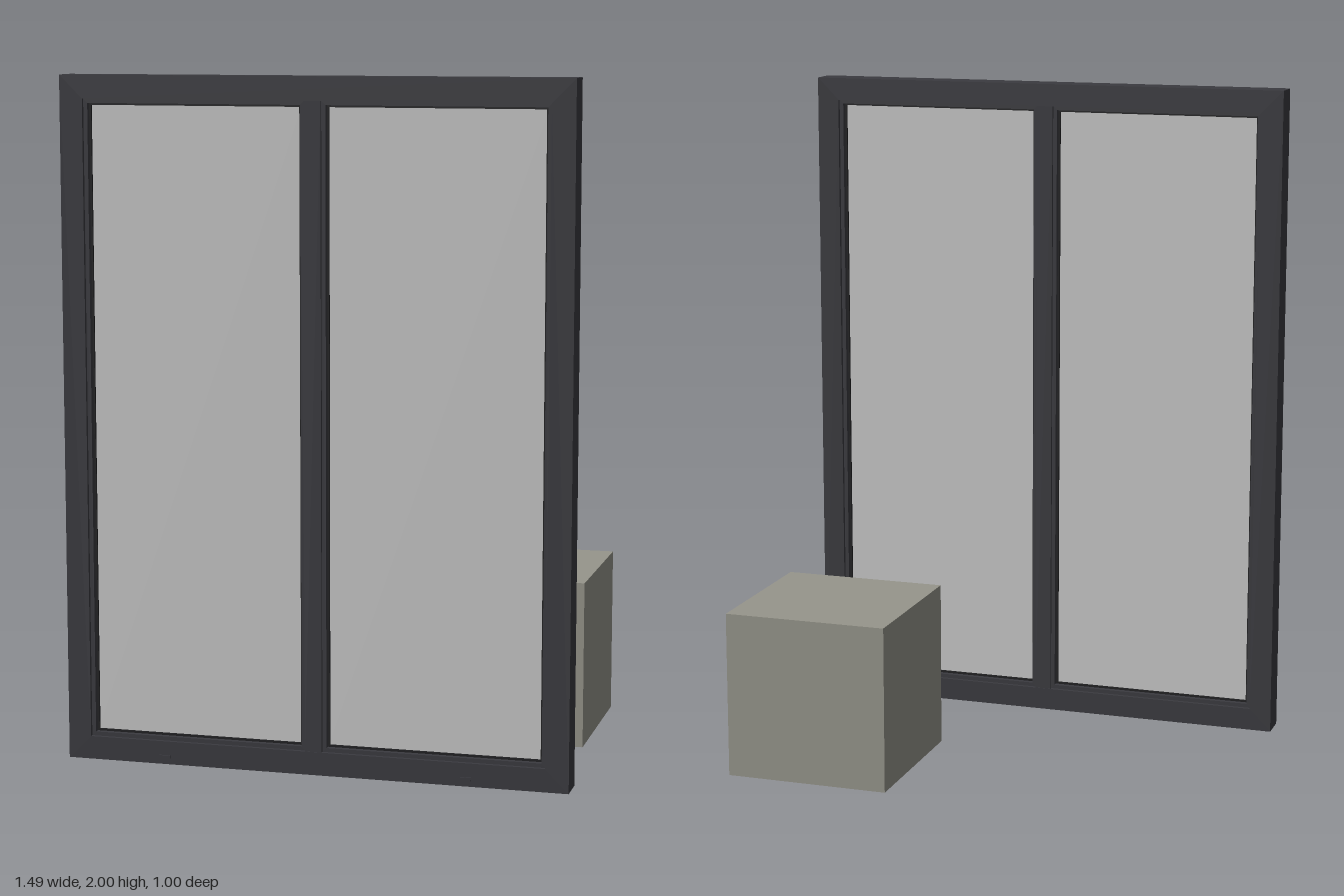
import * as THREE from 'three';

const FRONT = 0.495, BACK = 0.408, MID = (FRONT + BACK) / 2;
const HALF_W = 0.747, HEIGHT = 2, BORDER = 0.068, MULLION = 0.025;

export function createModel() {
  const frameMat = new THREE.MeshStandardMaterial({ color: 0x3b3b40 });
  frameMat.name = 'charcoal frame';
  const gasketMat = new THREE.MeshStandardMaterial({ color: 0x202022 });
  gasketMat.name = 'black rubber';
  const glassMat = new THREE.MeshStandardMaterial({ color: 0xc9c9c9 });
  glassMat.name = 'pale grey glass';
  const blockMat = new THREE.MeshStandardMaterial({ color: 0x97968c });
  blockMat.name = 'warm grey block';

  const model = new THREE.Group();
  model.name = 'windowAndBlock';

  function add(parent, name, geometry, material, x = 0, y = 0, z = 0) {
    const mesh = new THREE.Mesh(geometry, material);
    mesh.name = name;
    mesh.position.set(x, y, z);
    parent.add(mesh);
    return mesh;
  }

  // Four mitred bars around a rectangle, centred on the window's mid plane
  function border(parent, name, [x0, y0, x1, y1], width, depth, material) {
    const outer = [[x0, y0], [x1, y0], [x1, y1], [x0, y1]];
    const inner = [
      [x0 + width, y0 + width], [x1 - width, y0 + width],
      [x1 - width, y1 - width], [x0 + width, y1 - width],
    ];
    ['Bottom', 'Left', 'Top', 'Right'].forEach((side, i) => {
      const j = (i + 1) % 4;
      const shape = new THREE.Shape(
        [outer[i], outer[j], inner[j], inner[i]].map(([x, y]) => new THREE.Vector2(x, y)));
      const bar = new THREE.ExtrudeGeometry(shape, { depth, bevelEnabled: false });
      add(parent, name + side, bar, material, 0, 0, MID - depth / 2);
    });
  }

  const windowGroup = new THREE.Group();
  windowGroup.name = 'window';
  model.add(windowGroup);

  // Outer frame and central mullion
  border(windowGroup, 'frame', [-HALF_W, 0, HALF_W, HEIGHT], BORDER, FRONT - BACK, frameMat);
  add(windowGroup, 'mullion',
    new THREE.BoxGeometry(2 * MULLION, HEIGHT - 2 * BORDER, 0.083), frameMat, 0, HEIGHT / 2, MID);

  // Each pane: glazing bead, rubber gasket, glass
  for (const side of [-1, 1]) {
    const pane = new THREE.Group();
    pane.name = side > 0 ? 'leftPane' : 'rightPane';
    windowGroup.add(pane);
    const a = side * MULLION, b = side * (HALF_W - BORDER);
    const x0 = Math.min(a, b), x1 = Math.max(a, b);
    const y0 = BORDER, y1 = HEIGHT - BORDER;
    const bead = 0.012, rubber = 0.006;
    border(pane, 'bead', [x0, y0, x1, y1], bead, 0.066, frameMat);
    border(pane, 'gasket', [x0 + bead, y0 + bead, x1 - bead, y1 - bead], rubber, 0.036, gasketMat);
    add(pane, 'glass',
      new THREE.BoxGeometry(x1 - x0 - 2 * bead, y1 - y0 - 2 * bead, 0.024),
      glassMat, (x0 + x1) / 2, HEIGHT / 2, MID);

    // Drain cap low on the front face
    add(windowGroup, 'drainCap', new THREE.BoxGeometry(0.032, 0.01, 0.005),
      frameMat, side * 0.45, 0.022, FRONT + 0.002);
  }

  // Free-standing cube behind the window
  add(model, 'block', new THREE.BoxGeometry(0.496, 0.5, 0.496), blockMat, 0.448, 0.25, -0.248);

  return model;
}
